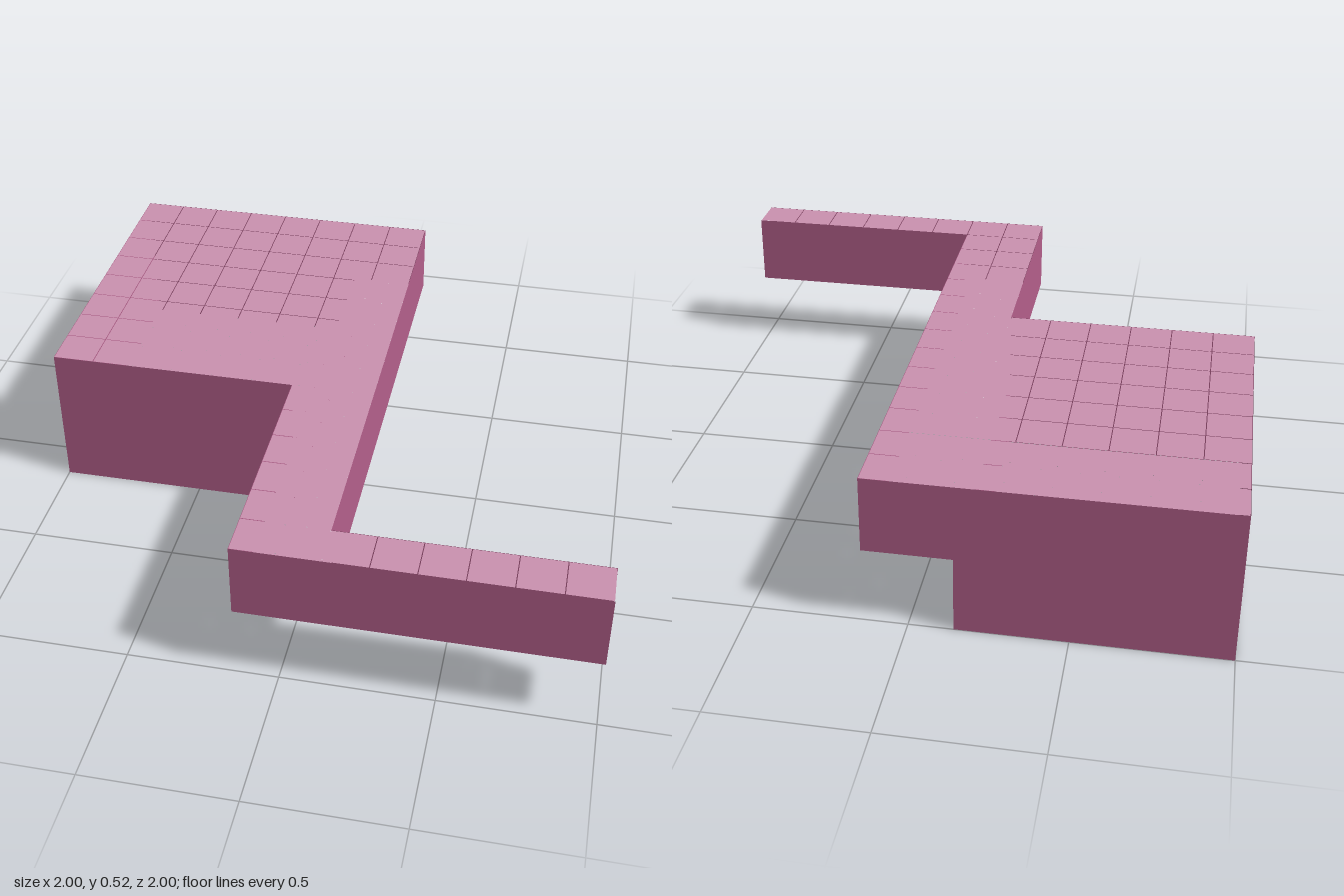
import * as THREE from 'three';

const U = 1 / 7;      // one grid cell
const MID = 0.26;     // underside of the raised corridor
const TOP = 0.517;    // roof height
const GAP = 0.003;    // hairline joint between tiles

export function createModel() {
  const model = new THREE.Group();
  const wallPink = new THREE.MeshStandardMaterial({ color: 0xb5608c, side: THREE.DoubleSide });
  wallPink.name = 'wallPink';
  const tilePink = new THREE.MeshStandardMaterial({ color: 0xcb92b0, side: THREE.DoubleSide });
  tilePink.name = 'tilePink';

  // Upright sheet between two plan points, given in cells
  function wall(name, [x0, z0], [x1, z1], low, high) {
    const dx = (x1 - x0) * U, dz = (z1 - z0) * U;
    const mesh = new THREE.Mesh(new THREE.PlaneGeometry(Math.hypot(dx, dz), high - low), wallPink);
    mesh.position.set((x0 + x1) * U / 2, (low + high) / 2, (z0 + z1) * U / 2);
    mesh.rotation.y = Math.atan2(-dz, dx);
    mesh.name = name;
    model.add(mesh);
  }

  // Rectangle of square tiles facing up (roof) or down (floor)
  function tiles(name, x0, x1, z0, z1, y, up) {
    const group = new THREE.Group();
    group.name = name;
    const geometry = new THREE.PlaneGeometry(U - GAP, U - GAP);
    geometry.rotateX(up ? -Math.PI / 2 : Math.PI / 2);
    for (let x = x0; x < x1; x++) {
      for (let z = z0; z < z1; z++) {
        const tile = new THREE.Mesh(geometry, tilePink);
        tile.name = 'tile';
        tile.position.set((x + 0.5) * U, y, (z + 0.5) * U);
        group.add(tile);
      }
    }
    model.add(group);
  }

  // Roof and floor tiles of the room, corridor and side arm
  const areas = [
    ['room', -7, -1, -7, 1, 0],
    ['corridor', -1, 1, -7, 7, MID],
    ['arm', 1, 7, 6, 7, MID],
  ];
  for (const [name, x0, x1, z0, z1, floor] of areas) {
    tiles(name + 'Roof', x0, x1, z0, z1, TOP, true);
    tiles(name + 'Floor', x0, x1, z0, z1, floor, false);
  }

  // Deep room walls
  wall('roomFrontWall', [-7, 1], [-1, 1], 0, TOP);
  wall('roomSideWall', [-7, -7], [-7, 1], 0, TOP);
  wall('roomBackWall', [-1, -7], [-7, -7], 0, TOP);
  wall('roomStepWall', [-1, 1], [-1, -7], 0, MID);

  // Corridor walls
  wall('corridorBackWall', [1, -7], [-1, -7], MID, TOP);
  wall('corridorOuterWall', [1, 6], [1, -7], MID, TOP);
  wall('corridorInnerWall', [-1, 1], [-1, 7], MID, TOP);

  // Arm walls, with the far end left open
  wall('armFrontWall', [-1, 7], [7, 7], MID, TOP);
  wall('armBackWall', [7, 6], [1, 6], MID, TOP);

  return model;
}
